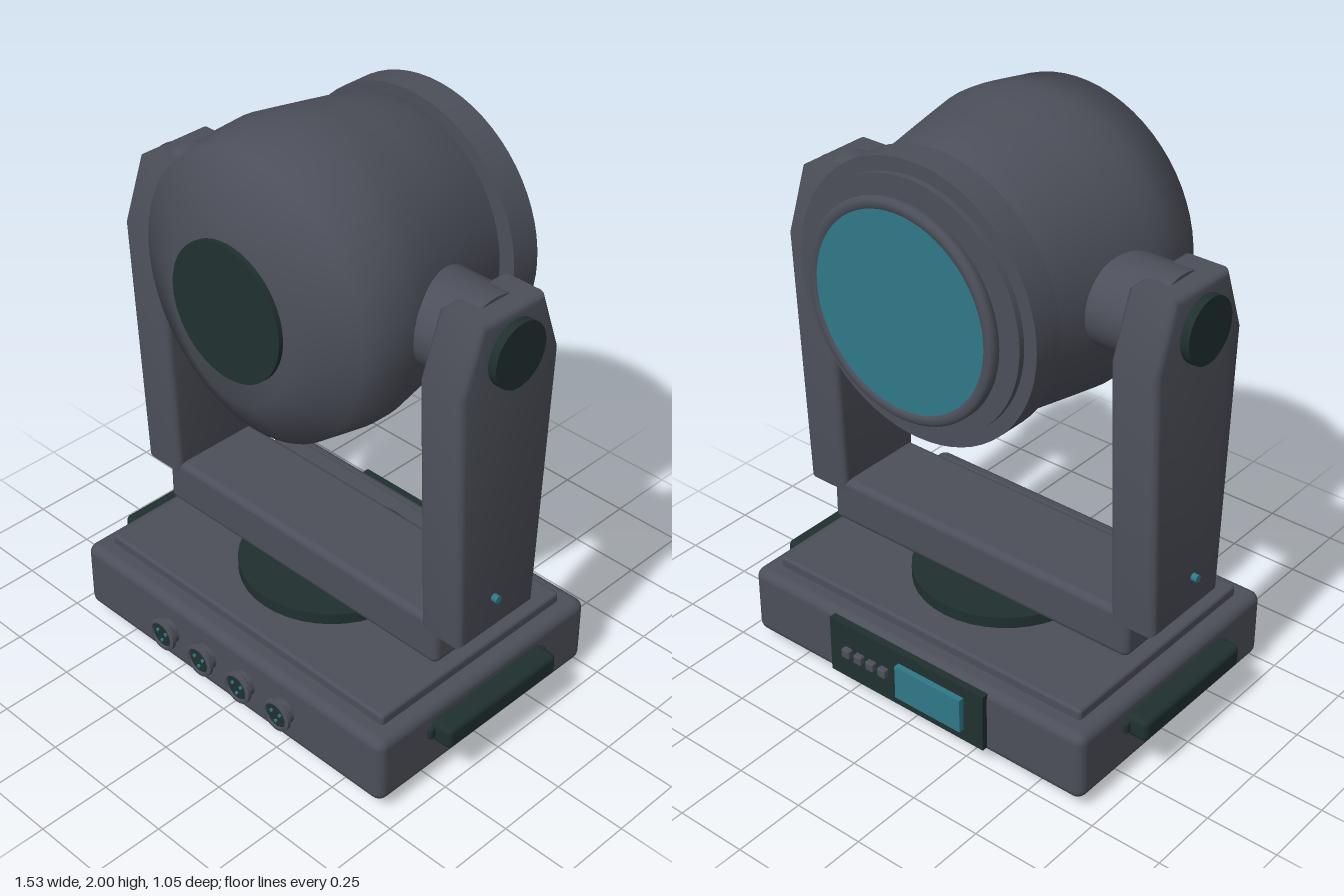
import * as THREE from 'three';
import { toCreasedNormals } from 'three/addons/utils/BufferGeometryUtils.js';
import { RoundedBoxGeometry } from 'three/addons/geometries/RoundedBoxGeometry.js';

const material = (name, color) => {
  const m = new THREE.MeshStandardMaterial({ color });
  m.name = name;
  return m;
};

export function createModel() {
  const grey = material('housing grey', 0x4c4f59);
  const dark = material('dark trim', 0x20302f);
  const teal = material('teal glass', 0x2f7888);
  const model = new THREE.Group();
  model.name = 'movingHeadLight';

  const add = (name, geometry, mat, x = 0, y = 0, z = 0, parent = model) => {
    const mesh = new THREE.Mesh(geometry, mat);
    mesh.name = name;
    mesh.position.set(x, y, z);
    parent.add(mesh);
    return mesh;
  };
  const rounded = (w, h, d, r) => new RoundedBoxGeometry(w, h, d, 3, r);
  const discY = (r, h) => new THREE.CylinderGeometry(r, r, h, 40);
  const discZ = (r, d, n = 48) => new THREE.CylinderGeometry(r, r, d, n).rotateX(Math.PI / 2);
  const discX = (r, w) => new THREE.CylinderGeometry(r, r, w, 40).rotateZ(Math.PI / 2);
  // Lathe about the z axis; points are [radius, z] with z rising
  const latheZ = (points, n = 64) => new THREE.LatheGeometry(
    points.map(([r, z]) => new THREE.Vector2(r, z)), n).rotateX(Math.PI / 2);

  // Base
  add('base', rounded(1.38, 0.25, 0.97, 0.035), grey, 0, 0.165, 0);
  add('basePlate', rounded(1.26, 0.06, 0.83, 0.012), grey, 0, 0.295, 0);
  add('turntable', discY(0.31, 0.045), dark, 0, 0.343, 0);
  for (const x of [-0.53, 0.53]) {
    for (const z of [-0.333, 0.333]) add('foot', discY(0.066, 0.05), dark, x, 0.025, z);
  }

  // Sockets on the front of the base
  for (const x of [-0.27, -0.09, 0.09, 0.27]) {
    const socket = new THREE.Group();
    socket.name = 'socket';
    socket.position.set(x, 0.165, 0.48);
    model.add(socket);
    const rim = latheZ([[0.046, 0], [0.046, 0.022], [0.058, 0.03], [0.058, 0.042],
      [0.052, 0.045], [0.045, 0.045], [0.043, 0.036]], 28);
    add('socketRim', toCreasedNormals(rim, 0.5), grey, 0, 0, 0, socket);
    add('socketFace', discZ(0.045, 0.02, 28), dark, 0, 0, 0.028, socket);
    for (let i = 0; i < 3; i++) {
      const a = Math.PI / 6 + i * Math.PI * 2 / 3;
      add('socketPin', discZ(0.006, 0.008, 10), teal,
        0.022 * Math.cos(a), 0.022 * Math.sin(a), 0.04, socket);
    }
  }

  // Control panel on the back of the base
  add('controlPanel', new THREE.BoxGeometry(0.645, 0.21, 0.03), dark, 0, 0.17, -0.49);
  add('screen', new THREE.BoxGeometry(0.27, 0.125, 0.025), teal, -0.11, 0.172, -0.513);
  for (let i = 0; i < 4; i++) {
    add('button', rounded(0.034, 0.034, 0.03, 0.006), grey, 0.087 + i * 0.052, 0.172, -0.51);
  }

  // Yoke bar
  add('yokeBar', rounded(1.23, 0.17, 0.33, 0.025), grey, 0, 0.445, 0);

  // Yoke arm, drawn from the side and inset by its bevel
  const bevel = 0.022;
  const armShape = new THREE.Shape([
    [-0.148, 0.512], [0.148, 0.512], [0.188, 1.42], [0.118, 1.613], [-0.118, 1.613], [-0.188, 1.42],
  ].map(([z, y]) => new THREE.Vector2(z, y)));
  const armGeometry = toCreasedNormals(new THREE.ExtrudeGeometry(armShape, {
    depth: 0.167 - bevel * 2, bevelSize: bevel, bevelThickness: bevel, bevelSegments: 3,
  }).translate(0, 0, -0.0835 + bevel).rotateY(Math.PI / 2), 0.6);

  for (const side of [-1, 1]) {
    add('yokeArm', armGeometry, grey, side * 0.634, 0, 0);
    add('axle', discX(0.148, 0.24), grey, side * 0.525, 1.498, 0).scale.z = 1.09;
    add('pivotCap', discX(0.107, 0.04), dark, side * 0.727, 1.5, 0);
    add('indicator', discX(0.013, 0.03), teal, side * 0.723, 0.62, 0.025);
    add('handle', rounded(0.09, 0.08, 0.51, 0.02), dark, side * 0.718, 0.203, 0);
    add('handleMount', rounded(0.03, 0.045, 0.55, 0.01), dark, side * 0.69, 0.203, 0);
  }

  // Lamp head
  const head = new THREE.Group();
  head.name = 'head';
  head.position.y = 1.5;
  model.add(head);

  // Shell cross-sections: z, half height, half width (narrowed at the axles)
  const sections = [
    [-0.32, 0.41, 0.393], [-0.22, 0.455, 0.41], [-0.1, 0.472, 0.438], [0, 0.486, 0.46],
    [0.1, 0.5, 0.48], [0.17, 0.491, 0.487], [0.33, 0.465, 0.455], [0.42, 0.315, 0.25], [0.42, 0, 0],
  ];
  const shell = latheZ(sections.map(([z, h]) => [h, z]));
  const position = shell.attributes.position;
  for (let i = 0; i < position.count; i++) {
    const [, h, w] = sections[i % sections.length];
    if (h > 0) position.setX(i, position.getX(i) * w / h);
  }
  add('headShell', toCreasedNormals(shell, 1), grey, 0, 0, 0, head);
  add('rearDisc', discZ(0.225, 0.03), dark, 0, 0, 0.421, head);

  // Stepped front bezel and lens
  add('bezel', discZ(0.452, 0.105, 64), grey, 0, 0, -0.362, head);
  add('bezelStep', discZ(0.407, 0.03, 64), grey, 0, 0, -0.42, head);
  add('lensBarrel', discZ(0.33, 0.05, 64), grey, 0, 0, -0.45, head);
  const ring = latheZ([[0.318, -0.485], [0.326, -0.491], [0.345, -0.491], [0.355, -0.482],
    [0.355, -0.46], [0.345, -0.45], [0.318, -0.45]]);
  add('lensRing', toCreasedNormals(ring, 0.9), grey, 0, 0, 0, head);
  add('lens', discZ(0.32, 0.02, 64), teal, 0, 0, -0.476, head);

  return model;
}
